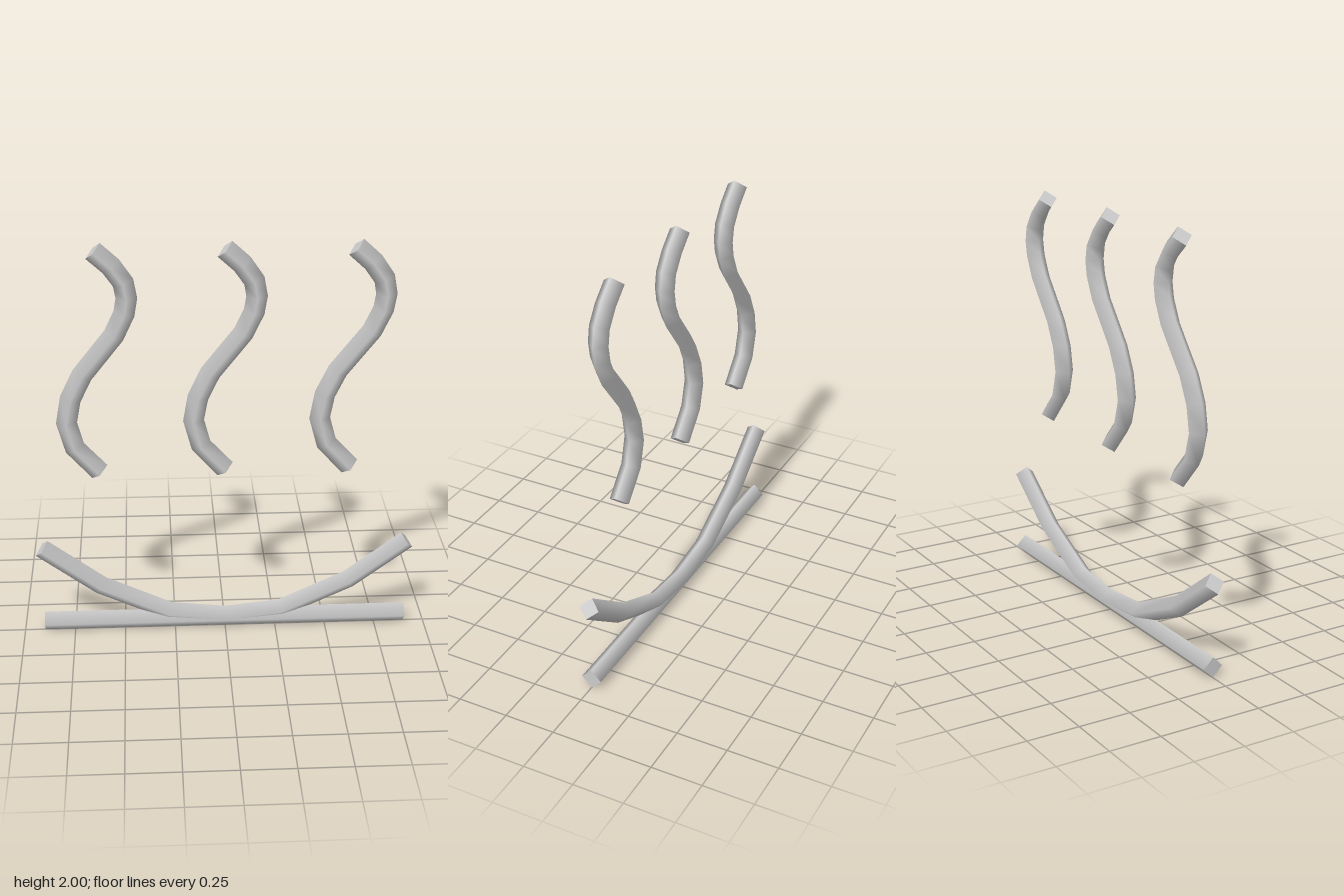
import * as THREE from 'three';

const R = 0.05;

// Four-sided bar swept along a path in the xy plane, diamond section, capped ends
function sweep(path) {
  const pts = path.map(([x, y]) => new THREE.Vector3(x, y, 0));
  const last = pts.length - 1;
  const z = new THREE.Vector3(0, 0, 1);
  const pos = [], nor = [], idx = [];
  const tangents = pts.map((p, i) => {
    const a = p.clone().sub(pts[Math.max(i - 1, 0)]).normalize();
    const b = pts[Math.min(i + 1, last)].clone().sub(p).normalize();
    return a.add(b).normalize();
  });
  const ring = (i, capNormal) => {
    const side = new THREE.Vector3().crossVectors(z, tangents[i]);
    for (let j = 0; j < 4; j++) {
      const a = j * Math.PI / 2;
      const n = side.clone().multiplyScalar(Math.cos(a)).addScaledVector(z, Math.sin(a));
      pos.push(...pts[i].clone().addScaledVector(n, R).toArray());
      nor.push(...(capNormal || n).toArray());
    }
  };
  // Smooth sides
  pts.forEach((_, i) => ring(i));
  for (let i = 0; i < last; i++) {
    for (let j = 0; j < 4; j++) {
      const a = i * 4 + j, b = i * 4 + (j + 1) % 4;
      idx.push(a, b, a + 4, b, b + 4, a + 4);
    }
  }
  // Flat end caps
  const s = pts.length * 4, e = s + 4;
  ring(0, tangents[0].clone().negate());
  ring(last, tangents[last]);
  idx.push(s, s + 2, s + 1, s, s + 3, s + 2, e, e + 1, e + 2, e, e + 2, e + 3);

  const g = new THREE.BufferGeometry();
  g.setAttribute('position', new THREE.Float32BufferAttribute(pos, 3));
  g.setAttribute('normal', new THREE.Float32BufferAttribute(nor, 3));
  g.setIndex(idx);
  return g;
}

export function createModel() {
  const model = new THREE.Group();
  model.name = 'steamingSurfaceSymbol';
  const grey = new THREE.MeshStandardMaterial({ color: 0xcccccc });
  grey.name = 'light grey';
  const add = (name, geometry, x = 0) => {
    const mesh = new THREE.Mesh(geometry, grey);
    mesh.name = name;
    mesh.position.x = x;
    model.add(mesh);
  };

  // Straight bar at the bottom
  add('baseBar', sweep([[-0.9, R], [0.9, R]]));

  // Shallow curve resting on the bar, mirrored about the middle
  const half = [[0.28, 0.088], [0.615, 0.243], [0.9, 0.455]];
  const mirrored = half.map(([x, y]) => [-x, y]).reverse();
  add('curvedBar', sweep([...mirrored, [0, 0.057], ...half]));

  // Three wavy strands above
  const wave = sweep([
    [0, 0.863], [-0.115, 0.99], [-0.15, 1.12], [-0.128, 1.24], [-0.07, 1.36],
    [0.085, 1.555], [0.135, 1.66], [0.148, 1.735], [0.135, 1.81], [0.08, 1.89], [0, 1.963],
  ]);
  ['rightWave', 'middleWave', 'leftWave'].forEach((name, i) => add(name, wave, (i - 1) * 0.602));

  return model;
}
